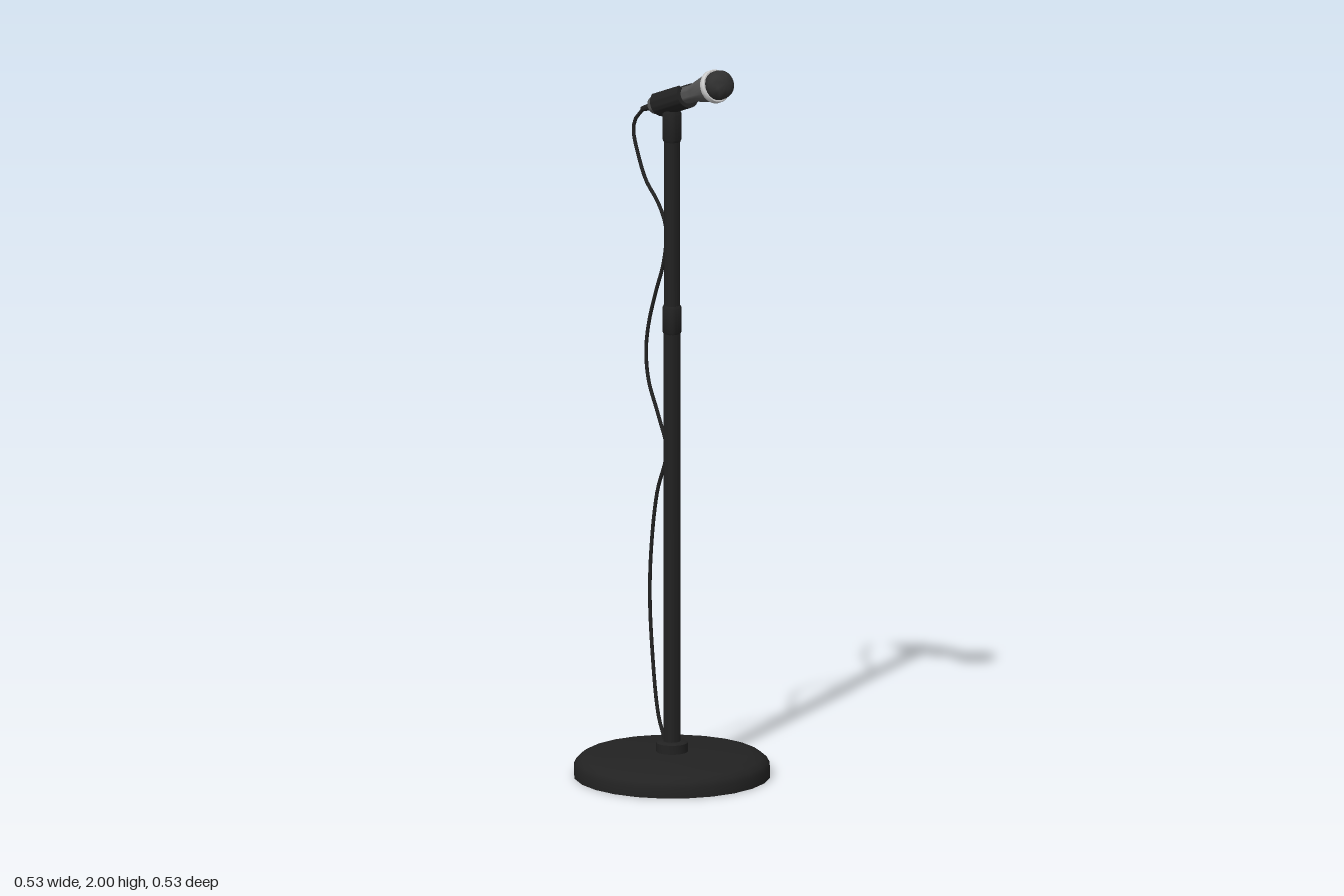
import * as THREE from 'three';
import { toCreasedNormals } from 'three/addons/utils/BufferGeometryUtils.js';

const paint = (color, side = THREE.FrontSide) => new THREE.MeshStandardMaterial({ color, side });
const black = paint(0x222222);
const blackShell = paint(0x222222, THREE.DoubleSide);
const grey = paint(0x555555);
const silver = paint(0xcccccc);
const mesh3 = paint(0x303030);

function add(parent, name, geometry, material) {
  const mesh = new THREE.Mesh(geometry, material);
  mesh.name = name;
  parent.add(mesh);
  return mesh;
}

// Turned part from [radius, height] pairs, listed bottom to top
function turned(profile, sides = 20, crease = 0.7) {
  const points = profile.map(([r, y]) => new THREE.Vector2(r, y));
  return toCreasedNormals(new THREE.LatheGeometry(points, sides), crease);
}

// Closed cylinder between two heights
const rod = (r, y0, y1, sides = 16) => turned([[0, y0], [r, y0], [r, y1], [0, y1]], sides);

export function createModel() {
  const model = new THREE.Group();
  model.name = 'microphoneStand';

  // Hollow round base with a raised hub
  add(model, 'base', turned([
    [0.267, 0], [0.267, 0.028], [0.26, 0.042], [0.245, 0.053], [0.21, 0.06],
    [0.043, 0.067], [0.043, 0.092], [0.038, 0.096], [0.02, 0.096],
  ], 24), blackShell);

  // Pole, its height clutch and the top collar
  add(model, 'lowerPole', rod(0.0235, 0.065, 1.25), black);
  add(model, 'upperPole', rod(0.0215, 1.25, 1.85), black);
  add(model, 'clutch', turned([
    [0, 1.232], [0.023, 1.232], [0.026, 1.238], [0.026, 1.305], [0.023, 1.311], [0, 1.311],
  ]), black);
  add(model, 'topCollar', turned([
    [0, 1.768], [0.023, 1.768], [0.026, 1.775], [0.026, 1.845], [0.02, 1.862], [0, 1.862],
  ]), black);

  // Microphone, built along its own axis and tilted up towards +x
  const mic = new THREE.Group();
  mic.name = 'microphone';
  mic.position.set(0, 1.884, 0);
  mic.rotation.z = -THREE.MathUtils.degToRad(68.6);
  model.add(mic);

  add(mic, 'handle', turned([
    [0, -0.088], [0.018, -0.088], [0.0245, -0.08], [0.0245, 0.1],
    [0.027, 0.115], [0.041, 0.185], [0.041, 0.192], [0, 0.192],
  ]), grey);
  add(mic, 'headRing', turned([
    [0.036, 0.189], [0.044, 0.189], [0.046, 0.192], [0.046, 0.204], [0.044, 0.207], [0.036, 0.207],
  ], 24), silver);
  add(mic, 'grille', turned([
    [0.036, 0.2], [0.04, 0.205], [0.04, 0.222], [0.037, 0.235], [0.03, 0.244], [0.018, 0.25], [0, 0.252],
  ], 20, 1.2), mesh3);
  add(mic, 'cableBoot', turned([
    [0, -0.136], [0.007, -0.136], [0.011, -0.09], [0.011, -0.086], [0, -0.086],
  ], 12), black);

  // C-shaped clip, open on top
  const open = Math.PI - 0.62;
  const clip = new THREE.Shape();
  clip.absarc(0, 0, 0.036, -open, open, false);
  clip.absarc(0, 0, 0.0245, open, -open, true);
  clip.closePath();
  const clipGeometry = new THREE.ExtrudeGeometry(clip, { depth: 0.125, bevelEnabled: false, curveSegments: 16 });
  clipGeometry.rotateX(-Math.PI / 2).translate(0, -0.052, 0);
  add(mic, 'clip', toCreasedNormals(clipGeometry, 0.7), black);

  // Cable hanging in loops beside the pole
  const path = [
    [-0.122, 1.836], [-0.159, 1.797], [-0.165, 1.765], [-0.148, 1.712], [-0.111, 1.638],
    [-0.063, 1.59], [-0.032, 1.542], [-0.024, 1.5], [-0.037, 1.42], [-0.069, 1.336],
    [-0.1, 1.241], [-0.111, 1.161], [-0.1, 1.082], [-0.058, 0.992], [-0.023, 0.902],
    [-0.063, 0.78], [-0.085, 0.653], [-0.095, 0.5], [-0.085, 0.336], [-0.058, 0.156], [-0.03, 0.092],
  ].map(([x, y]) => new THREE.Vector3(x, y, 0));
  add(model, 'cable', new THREE.TubeGeometry(new THREE.CatmullRomCurve3(path), 80, 0.005, 8), black);

  return model;
}
